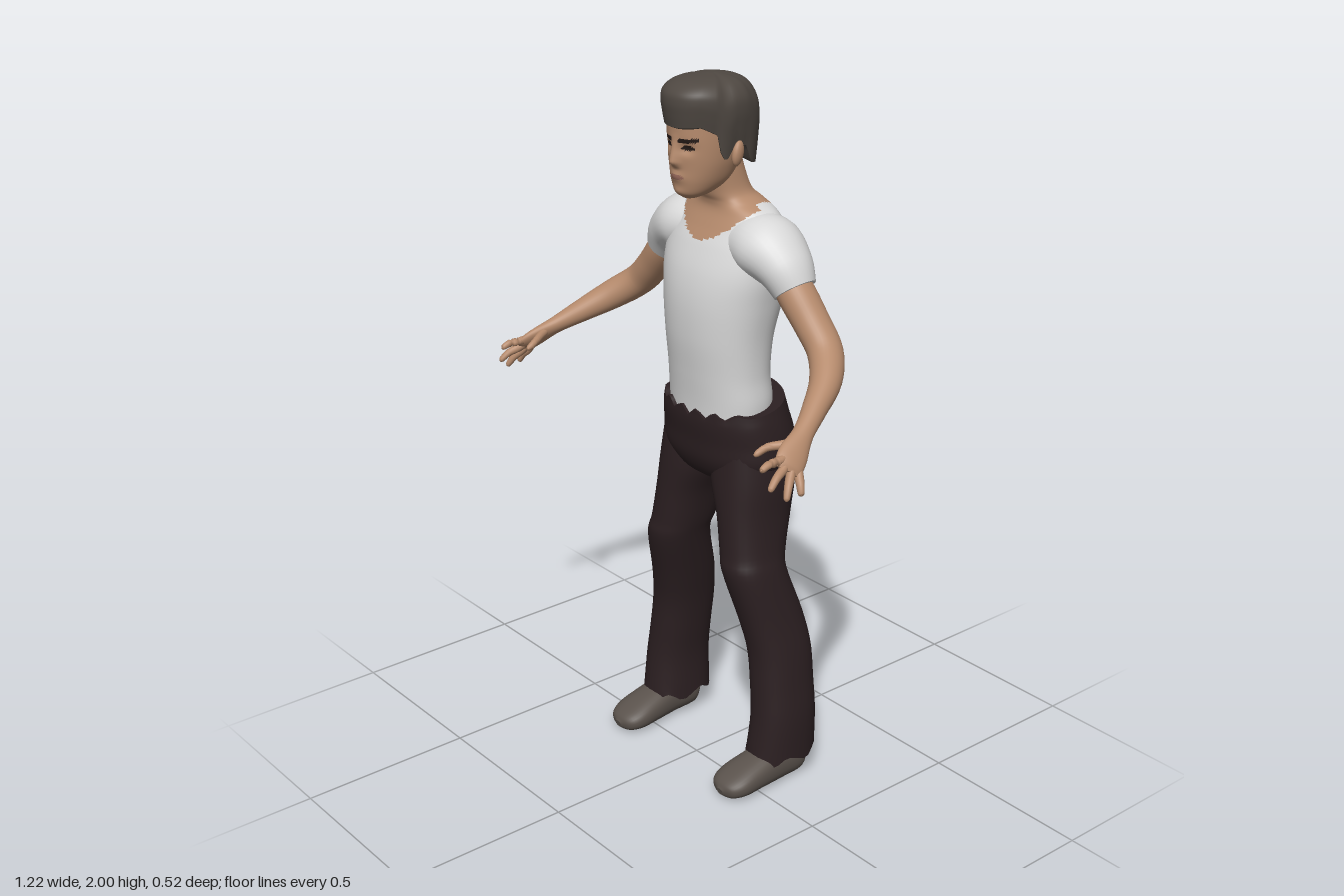
import * as THREE from 'three';

const mat = (name, color, side = THREE.FrontSide) => {
  const m = new THREE.MeshStandardMaterial({ color, side });
  m.name = name;
  return m;
};

// Lofts rows of [x, y, z, radiusU, radiusV] into a smooth closed tube.
// flat keeps rings level; ref sets the ring's v side; n is the superellipse power;
// edit(p, cos, sin, t) moves a vertex; pick(centre) chooses a material index.
function loft(name, rows, mats, o = {}) {
  const { seg = 32, sub = 5, n = 2, flat = false, ref = new THREE.Vector3(0, 0, 1), edit, pick } = o;
  const path = new THREE.CatmullRomCurve3(rows.map(r => new THREE.Vector3(r[0], r[1], r[2])), false, 'catmullrom');
  const size = new THREE.CatmullRomCurve3(rows.map(r => new THREE.Vector3(r[3], r[4], 0)), false, 'catmullrom');
  const count = (rows.length - 1) * sub;
  const pos = [];
  const pw = v => Math.sign(v) * Math.pow(Math.abs(v), 2 / n);
  for (let i = 0; i <= count; i++) {
    const t = i / count, c = path.getPoint(t), s = size.getPoint(t);
    const T = flat ? new THREE.Vector3(0, 1, 0) : path.getTangent(t);
    const u = new THREE.Vector3().crossVectors(T, ref).normalize();
    const v = new THREE.Vector3().crossVectors(u, T);
    for (let j = 0; j < seg; j++) {
      const a = j / seg * Math.PI * 2, cs = Math.cos(a), sn = Math.sin(a);
      const p = c.clone().addScaledVector(u, pw(cs) * s.x).addScaledVector(v, pw(sn) * s.y);
      if (edit) edit(p, cs, sn, t);
      pos.push(p);
    }
  }
  const tris = [];
  for (let i = 0; i < count; i++) for (let j = 0; j < seg; j++) {
    const a = i * seg + j, b = i * seg + (j + 1) % seg, c = a + seg, d = b + seg;
    tris.push([a, c, b], [b, c, d]);
  }
  // End caps on their own vertices, so the rims stay crisp
  for (const end of [0, count]) {
    const ring = pos.slice(end * seg, end * seg + seg), base = pos.length;
    const mid = new THREE.Vector3();
    ring.forEach(p => mid.addScaledVector(p, 1 / seg));
    pos.push(...ring.map(p => p.clone()), mid);
    for (let j = 0; j < seg; j++) {
      const a = base + j, b = base + (j + 1) % seg;
      tris.push(end ? [base + seg, b, a] : [base + seg, a, b]);
    }
  }
  const list = Array.isArray(mats) ? mats : [mats];
  const bins = list.map(() => []);
  for (const t of tris) {
    const c = new THREE.Vector3();
    t.forEach(k => c.addScaledVector(pos[k], 1 / 3));
    bins[pick ? pick(c) : 0].push(...t);
  }
  const g = new THREE.BufferGeometry().setFromPoints(pos);
  g.setIndex(bins.flat());
  let start = 0;
  bins.forEach((b, k) => { g.addGroup(start, b.length, k); start += b.length; });
  g.computeVertexNormals();
  const mesh = new THREE.Mesh(g, list.length > 1 ? list : list[0]);
  mesh.name = name;
  return mesh;
}

// Piecewise linear lookup through [x, y] pairs
function lookup(points, x) {
  for (let i = 1; i < points.length; i++) {
    const [x0, y0] = points[i - 1], [x1, y1] = points[i];
    if (x <= x1) return y0 + (y1 - y0) * (x - x0) / (x1 - x0);
  }
  return points[points.length - 1][1];
}
const bump = (d, w) => Math.exp(-(d * d) / (w * w));

export function createModel() {
  const skin = mat('skin', 0xb58a6c), hair = mat('hair', 0x4f4842);
  const shirt = mat('shirt', 0xd8d8d8), cloth = mat('trousers', 0x2b1f21, THREE.DoubleSide);
  const leather = mat('shoe leather', 0x5a524c);
  const dark = mat('brows and eyes', 0x251b18), lip = mat('lips', 0x96685a);
  const model = new THREE.Group();
  model.name = 'standingMan';

  // Torso and neck: shirt below the scooped neckline, skin above it
  model.add(loft('torso', [
    [0, 1.04, -.085, .16, .108], [0, 1.12, -.085, .165, .112], [0, 1.2, -.078, .16, .113],
    [0, 1.3, -.078, .165, .123], [0, 1.4, -.09, .18, .135], [0, 1.48, -.1, .194, .132],
    [0, 1.55, -.112, .198, .118], [0, 1.6, -.12, .183, .1], [0, 1.64, -.12, .15, .082],
    [0, 1.665, -.112, .1, .074], [0, 1.69, -.095, .072, .068], [0, 1.75, -.075, .063, .065],
    [0, 1.82, -.06, .06, .06]
  ], [shirt, skin], {
    flat: true, seg: 72, sub: 8, n: 2.2,
    pick: p => p.y > Math.min(1.662, (p.z > -.11 ? 1.565 : 1.61) + 5 * p.x * p.x) ? 1 : 0
  }));

  // Trouser seat with a frayed waist that rises at the back
  model.add(loft('trouserSeat', [
    [0, .87, -.1, .06, .05], [0, .9, -.105, .16, .1], [0, .95, -.112, .208, .132], [0, 1.01, -.115, .207, .142],
    [0, 1.06, -.107, .2, .14], [0, 1.105, -.098, .188, .13]
  ], cloth, {
    flat: true, seg: 64, n: 2.3,
    edit: (p, c, s, t) => {
      if (t < .85) return;
      const k = (t - .85) / .15, zig = Math.abs((Math.abs(p.x) * 32) % 2 - 1);
      p.y += k * (s < 0 ? .03 * -s : -.028 * s * zig);
    }
  }));

  // Head with nose, eye sockets and painted features
  const noseProfile = [[1.766, 0], [1.784, 1], [1.84, .12], [1.86, 0]];
  model.add(loft('head', [
    [0, 1.685, .02, .02, .022], [0, 1.7, .008, .046, .05], [0, 1.73, -.015, .067, .082],
    [0, 1.77, -.025, .081, .094], [0, 1.81, -.035, .089, .107], [0, 1.86, -.045, .094, .119],
    [0, 1.91, -.05, .094, .12], [0, 1.95, -.05, .08, .1], [0, 1.97, -.05, .05, .07]
  ], [skin, dark, lip], {
    flat: true, seg: 112, sub: 9, n: 2.15,
    edit: (p, c, s) => {
      if (s < .3) return;
      const ax = Math.abs(p.x), y = p.y;
      if (y > 1.766) p.z += .02 * bump(ax, .015) * lookup(noseProfile, y);
      p.z -= .009 * bump(ax - .035, .018) * bump(y - 1.822, .014);
      p.z += .005 * bump(ax, .024) * (bump(y - 1.745, .012) + bump(y - 1.703, .012));
    },
    pick: p => {
      if (p.z < .01) return 0;
      const ax = Math.abs(p.x), y = p.y;
      const brow = Math.abs(ax - .038) < .025 && Math.abs(y - 1.844 - .12 * (ax - .038)) < .0055;
      const eye = ((ax - .037) / .018) ** 2 + ((y - 1.824) / .0065) ** 2 < 1;
      if (brow || eye) return 1;
      return (p.x / .027) ** 2 + ((y - 1.745) / .0065) ** 2 < 1 ? 2 : 0;
    }
  }));

  // Hair cap: its lower rim follows fringe, sideburns, ears and nape
  const hairline = [[-1, 1.755], [-.5, 1.77], [-.32, 1.82], [.05, 1.83], [.1, 1.795],
    [.28, 1.795], [.38, 1.86], [.7, 1.882], [1, 1.877]];
  model.add(loft('hair', [
    [0, 1.76, -.045, .098, .128], [0, 1.82, -.045, .104, .133], [0, 1.88, -.045, .108, .136],
    [0, 1.93, -.045, .104, .13], [0, 1.97, -.047, .084, .105], [0, 1.99, -.05, .055, .068],
    [0, 2, -.05, .012, .015]
  ], hair, {
    flat: true, seg: 80, n: 2.1,
    edit: (p, c, s) => {
      const low = lookup(hairline, s);
      p.y = low + (p.y - 1.76) / .24 * (2 - low);
    }
  }));

  // One side, built at +x and mirrored
  const side = new THREE.Group();
  side.name = 'leftSide';

  const ear = new THREE.Mesh(new THREE.SphereGeometry(1, 16, 12), skin);
  ear.name = 'ear';
  ear.scale.set(.013, .034, .021);
  ear.position.set(.098, 1.805, -.055);
  ear.rotation.set(-.2, .35, 0);
  side.add(ear);

  side.add(loft('sleeve', [
    [.09, 1.56, -.112, .08, .09], [.16, 1.556, -.11, .086, .1], [.222, 1.522, -.11, .07, .082],
    [.263, 1.468, -.112, .056, .06]
  ], shirt, { sub: 8 }));

  side.add(loft('arm', [
    [.2, 1.53, -.11, .045, .045], [.265, 1.462, -.112, .05, .052], [.325, 1.395, -.115, .047, .05],
    [.385, 1.335, -.108, .045, .048], [.445, 1.285, -.055, .042, .042], [.49, 1.24, .025, .032, .032],
    [.522, 1.205, .09, .023, .028], [.545, 1.175, .14, .019, .04], [.56, 1.155, .17, .015, .04],
    [.568, 1.145, .183, .006, .03]
  ], skin));

  // Fingers and thumb: base, tip
  const fingers = [
    ['indexFinger', [.55, 1.172, .188], [.555, 1.163, .258]],
    ['middleFinger', [.558, 1.156, .18], [.58, 1.115, .25]],
    ['ringFinger', [.567, 1.143, .168], [.6, 1.085, .213]],
    ['littleFinger', [.574, 1.133, .15], [.605, 1.088, .168]],
    ['thumb', [.525, 1.195, .125], [.483, 1.17, .218]]
  ];
  for (const [name, a, b] of fingers) {
    const at = (t, r) => [...a.map((v, k) => v + (b[k] - v) * t), r, r];
    const rows = [at(-.2, .011), at(.2, .012), at(.6, .0105), at(.92, .008), at(1, .002)];
    rows[2][1] += .005;
    if (name === 'thumb') rows[2][0] -= .006;
    side.add(loft(name, rows, skin, { seg: 12, sub: 3 }));
  }

  side.add(loft('trouserLeg', [
    [.235, .08, -.115, .077, .106], [.237, .2, -.122, .074, .098], [.226, .3, -.125, .073, .095],
    [.212, .4, -.125, .073, .095], [.192, .5, -.108, .073, .096], [.165, .64, -.07, .075, .093],
    [.15, .7, -.077, .075, .097], [.132, .8, -.095, .081, .11], [.11, .9, -.11, .1, .12],
    [.105, 1, -.11, .09, .11]
  ], cloth, {
    flat: true, n: 2.3,
    edit: (p, c, s, t) => { if (t < .001) p.y += .012 * Math.sin(6 * Math.atan2(s, c)); }
  }));

  side.add(loft('shoe', [
    [.24, .045, -.192, .02, .025], [.24, .052, -.165, .046, .05], [.24, .055, -.08, .054, .055],
    [.237, .046, 0, .061, .046], [.235, .035, .06, .062, .035], [.235, .027, .095, .045, .024],
    [.235, .024, .11, .012, .01]
  ], leather, {
    n: 2.4, ref: new THREE.Vector3(0, 1, 0),
    edit: p => { p.y = Math.max(p.y, 0); }
  }));

  const mirrored = side.clone();
  mirrored.name = 'rightSide';
  mirrored.scale.x = -1;
  model.add(side, mirrored);
  return model;
}
